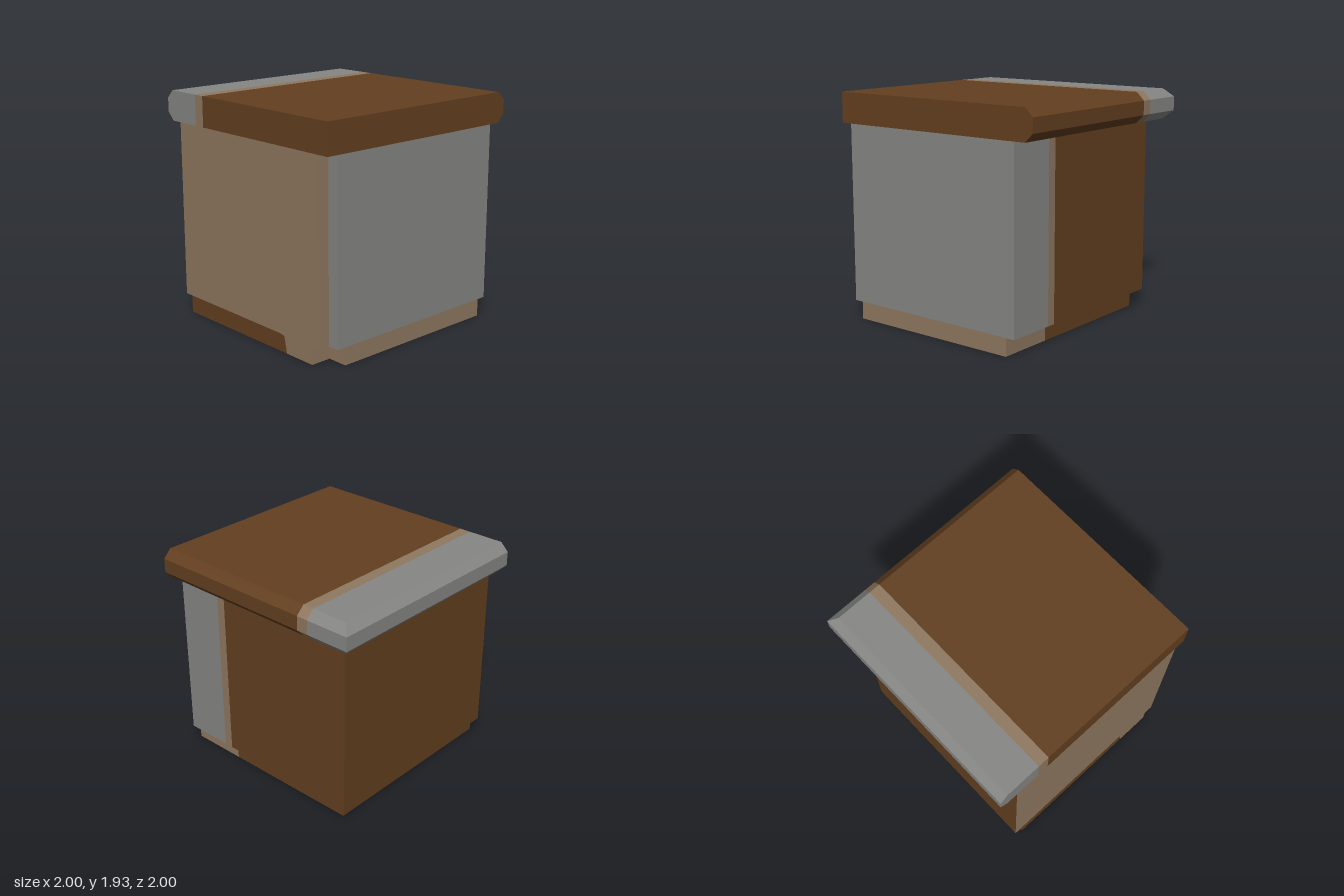
import * as THREE from 'three';

const brown = new THREE.MeshStandardMaterial({ color: 0x633f1f, name: 'dark wood' });
const tan = new THREE.MeshStandardMaterial({ color: 0x8f7860, name: 'light wood' });
const grey = new THREE.MeshStandardMaterial({ color: 0x868684, name: 'grey stone' });

// Mesh of flat convex polygons, each a loop of [x, y, z] corners seen anticlockwise from outside
function panels(name, material, polygons) {
  const pos = [];
  for (const p of polygons)
    for (let i = 1; i < p.length - 1; i++) pos.push(...p[0], ...p[i], ...p[i + 1]);
  const geo = new THREE.BufferGeometry();
  geo.setAttribute('position', new THREE.Float32BufferAttribute(pos, 3));
  geo.computeVertexNormals();
  const mesh = new THREE.Mesh(geo, material);
  mesh.name = name;
  return mesh;
}

// Upright walls along a path of [x, z] points, outside on the right of travel seen from above
function walls(path, y0, y1) {
  return path.slice(1).map(([bx, bz], i) => {
    const [ax, az] = path[i];
    return [[ax, y0, az], [bx, y0, bz], [bx, y1, bz], [ax, y1, az]];
  });
}

// Downward facing polygon, corners given in the same direction as the wall paths
const under = (y, ...pts) => pts.map(([x, z]) => [x, y, z]).reverse();
const rect = (y, x0, x1, z0, z1) => under(y, [x0, z1], [x1, z1], [x1, z0], [x0, z0]);

// Worktop: bevelled on the left-hand and rear edges, flat on the other two
function makeWorktop() {
  const group = new THREE.Group();
  group.name = 'worktop';
  const levels = [[1.93, -0.93], [1.86, -1], [1.74, -1], [1.67, -0.93]]; // y, edge position
  const profile = [[1.93, 1], ...levels, [1.67, 1]]; // y, z

  // one band across the slab; edge(y) gives its low x, so the end band can be mitred
  function band(x0, x1, mitred) {
    const lowX = (y) => (mitred ? levels.find((l) => l[0] === y)[1] : x0);
    const polys = profile.slice(1).map(([yb, zb], i) => {
      const [ya, za] = profile[i];
      return [[lowX(ya), ya, za], [x1, ya, za], [x1, yb, zb], [lowX(yb), yb, zb]];
    });
    const front = [[x1, 1.67, 1], [x1, 1.93, 1]];
    for (const [y] of mitred ? levels : [levels[0], levels[3]]) front.push([lowX(y), y, 1]);
    polys.push(front);
    return polys;
  }

  const endBand = band(-1, -0.61, true);
  for (let i = 0; i < 3; i++) {
    const [ya, ea] = levels[i], [yb, eb] = levels[i + 1];
    endBand.push([[eb, yb, eb], [eb, yb, 1], [ea, ya, 1], [ea, ya, ea]]);
  }
  const mainBand = band(-0.51, 1, false);
  mainBand.push([...profile].reverse().map(([y, z]) => [1, y, z]));

  group.add(
    panels('worktopEnd', grey, endBand),
    panels('worktopStrip', tan, band(-0.61, -0.51, false)),
    panels('worktopMain', brown, mainBand)
  );
  return group;
}

// Cabinet body with a small square notch in the front corner
function makeBody() {
  const group = new THREE.Group();
  group.name = 'body';
  const y0 = 0.15, y1 = 1.67;
  group.add(
    panels('frontPanel', tan, [
      ...walls([[-0.83, 1], [0.9, 1], [0.9, 0.9]], y0, y1),
      rect(y0, 0.82, 0.9, 0.9, 1),
    ]),
    panels('sidePanel', grey, [
      ...walls([[0.9, 0.9], [1, 0.9], [1, -0.83], [0.57, -0.83]], y0, y1),
      rect(y0, 0.82, 1, 0.82, 0.9),
      rect(y0, 0.57, 1, -0.83, -0.75),
    ]),
    panels('backStrip', tan, [
      ...walls([[0.57, -0.83], [0.49, -0.83]], y0, y1),
      rect(y0, 0.49, 0.57, -0.83, -0.75),
    ]),
    panels('backPanel', brown, [
      ...walls([[0.49, -0.83], [-0.83, -0.83], [-0.83, 1]], y0, y1),
      rect(y0, -0.83, 0.49, -0.83, -0.75),
      rect(y0, -0.83, -0.75, -0.75, 1),
    ])
  );
  return group;
}

// Recessed plinth with a larger notch in the same corner
function makePlinth() {
  const group = new THREE.Group();
  group.name = 'plinth';
  const h = 0.15;
  group.add(
    panels('darkPlinth', brown, [
      [[-0.75, 0, 1], [0.52, 0, 1], [0.49, 0.14, 1], [0.44, h, 1], [-0.75, h, 1]],
      ...walls([[0.5, -0.75], [-0.75, -0.75], [-0.75, 1]], 0, h),
      under(0, [-0.75, 0.82], [0.45, 0.82], [0.5, -0.75], [-0.75, -0.75]),
      under(0, [-0.75, 1], [0.52, 1], [0.45, 0.82], [-0.75, 0.82]),
    ]),
    panels('lightPlinth', tan, [
      [[0.49, 0.14, 1], [0.52, 0, 1], [0.82, 0, 1], [0.82, h, 1], [0.44, h, 1]],
      ...walls([[0.82, 1], [0.82, 0.82], [1, 0.82], [1, -0.75], [0.5, -0.75]], 0, h),
      under(0, [0.45, 0.82], [1, 0.82], [1, -0.75], [0.5, -0.75]),
      under(0, [0.52, 1], [0.82, 1], [0.82, 0.82], [0.45, 0.82]),
    ])
  );
  return group;
}

export function createModel() {
  const model = new THREE.Group();
  model.name = 'cornerCabinet';
  model.add(makeWorktop(), makeBody(), makePlinth());
  return model;
}
